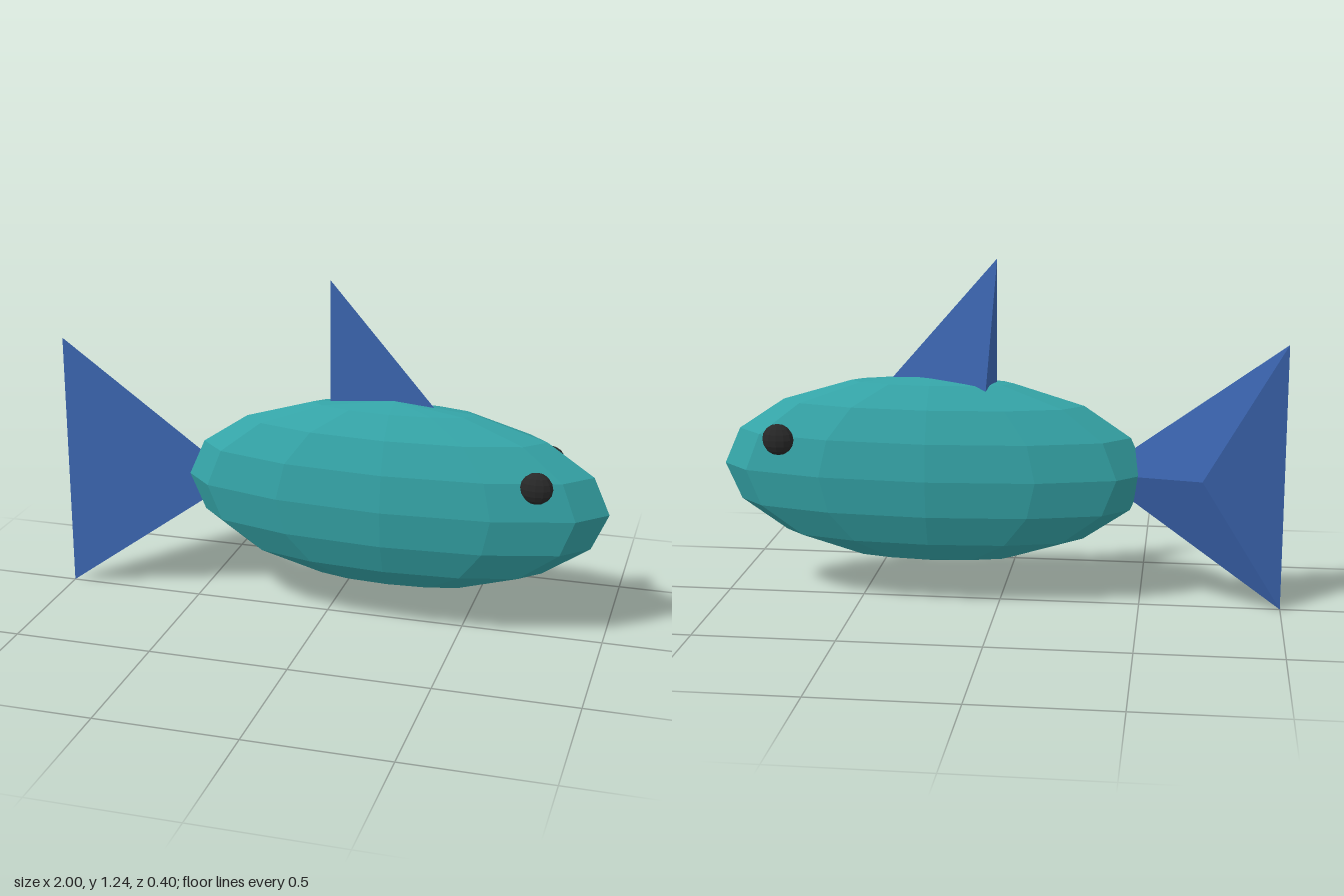
import * as THREE from 'three';
import { ConvexGeometry } from 'three/addons/geometries/ConvexGeometry.js';

const makeMaterial = (name, color) => {
  const m = new THREE.MeshStandardMaterial({ color, flatShading: true });
  m.name = name;
  return m;
};

export function createModel() {
  const group = new THREE.Group();
  group.name = 'fish';
  const teal = makeMaterial('teal', 0x34a3a6);
  const blue = makeMaterial('blue', 0x3b65b0);
  const black = makeMaterial('black', 0x282828);

  const add = (name, geometry, material) => {
    const mesh = new THREE.Mesh(geometry, material);
    mesh.name = name;
    group.add(mesh);
    return mesh;
  };

  // Faceted ellipsoid with the given radii and centre
  const ellipsoid = (name, radii, centre, material) => {
    const mesh = add(name, new THREE.SphereGeometry(1, 12, 8), material);
    mesh.scale.set(...radii);
    mesh.position.set(...centre);
  };

  // Four-cornered wedge: a flat front triangle and one ridge point behind it
  const wedge = (name, corners) =>
    add(name, new ConvexGeometry(corners.map((c) => new THREE.Vector3(...c))), blue);

  ellipsoid('body', [0.76, 0.342, 0.2], [0.24, 0.48, 0], teal);

  for (const [name, side] of [['leftEye', 1], ['rightEye', -1]]) {
    ellipsoid(name, [0.056, 0.056, 0.034], [0.768, 0.605, side * 0.142], black);
  }

  // Tail narrows into the body
  wedge('tailFin', [[-1, 0.953, 0], [-1, 0, 0], [-0.34, 0.477, 0], [-0.715, 0.477, -0.074]]);

  // Fin roots stay hidden inside the body
  wedge('dorsalFin', [[0.01, 1.235, 0], [0.01, 0.7, 0], [0.477, 0.7, 0], [0.045, 0.735, -0.08]]);

  return group;
}
